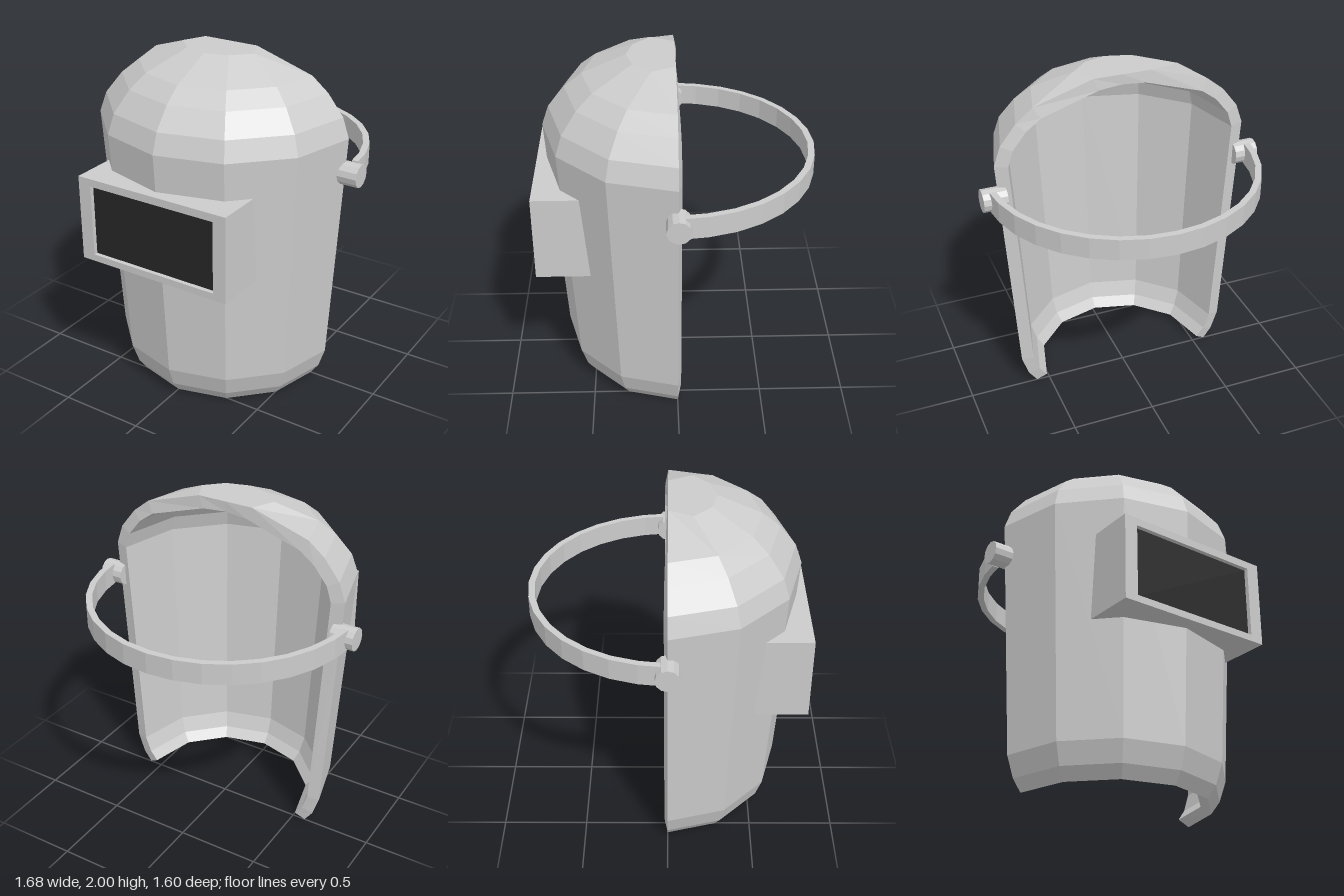
import * as THREE from 'three';

const grey = new THREE.MeshStandardMaterial({ color: 0xcccccc, flatShading: true });
const dark = new THREE.MeshStandardMaterial({ color: 0x262626, flatShading: true });

function addMesh(parent, name, geometry, material = grey) {
  const mesh = new THREE.Mesh(geometry, material);
  mesh.name = name;
  parent.add(mesh);
  return mesh;
}

function shapeFrom(points) {
  return new THREE.Shape(points.map(([x, y]) => new THREE.Vector2(x, y)));
}

// Extrude a plan drawn as (x, z) between two heights
function extrudePlan(points, y0, y1) {
  const shape = shapeFrom(points.map(([x, z]) => [x, -z]));
  const geo = new THREE.ExtrudeGeometry(shape, { depth: y1 - y0, bevelEnabled: false });
  return geo.rotateX(-Math.PI / 2).translate(0, y0, 0);
}

// Shell profiles as (radius, height), from chin to crown
const OUTER = [[0.58, 0], [0.63, 0.07], [0.67, 0.19], [0.755, 1.575], [0.715, 1.69],
  [0.62, 1.81], [0.52, 1.89], [0.27, 2], [0, 2]];
const INNER = [[0.52, 0.04], [0.565, 0.1], [0.6, 0.2], [0.68, 1.565], [0.65, 1.66],
  [0.57, 1.76], [0.48, 1.825], [0.2, 1.93], [0, 1.94]];

// Back edge of each profile: the crown narrows, the inner edge leans back
const rimOuter = OUTER.map(([r, y]) => [r === 0.27 ? 0.17 : r, y, 0]);
const rimInner = INNER.map(([r, y]) => [r === 0.2 ? 0.14 : r, y, -0.02 * Math.min(1, r / 0.6)]);

function buildShell(parent) {
  // Half turn of the closed wall section
  const segments = 6;
  const section = [...OUTER, ...[...INNER].reverse(), OUTER[0]];
  const rim = [...rimOuter, ...[...rimInner].reverse(), rimOuter[0]];
  const wall = new THREE.LatheGeometry(
    section.map(([r, y]) => new THREE.Vector2(r, y)), segments, -Math.PI / 2, Math.PI);
  const pos = wall.attributes.position;
  rim.forEach(([x, y, z], j) => {
    pos.setXYZ(j, -x, y, z);
    pos.setXYZ(segments * section.length + j, x, y, z);
  });
  addMesh(parent, 'maskShell', wall);

  // Strip closing the wall along the open back
  const arch = (half) => [...half, ...half.slice(0, -1).reverse().map(([x, y, z]) => [-x, y, z])];
  const o = arch(rimOuter), i = arch(rimInner);
  const verts = [];
  for (let k = 0; k < o.length - 1; k++) {
    verts.push(...o[k], ...i[k], ...i[k + 1], ...o[k], ...i[k + 1], ...o[k + 1]);
  }
  const strip = new THREE.BufferGeometry();
  strip.setAttribute('position', new THREE.Float32BufferAttribute(verts, 3));
  strip.computeVertexNormals();
  addMesh(parent, 'shellRim', strip);
}

function buildVisor(parent) {
  const visor = new THREE.Group();
  visor.name = 'visor';
  parent.add(visor);
  const y0 = 0.855, y1 = 1.36, front = 0.8, recess = 0.77;

  // Housing, its back following the facets inside the shell wall
  addMesh(visor, 'visorHousing', extrudePlan([[-0.48, recess], [0.48, recess], [0.48, 0.465],
    [0.345, 0.598], [0, 0.69], [-0.345, 0.598], [-0.48, 0.465]], y0, y1));

  // Frame around the window
  const frame = shapeFrom([[-0.48, y0], [0.48, y0], [0.48, y1], [-0.48, y1]]);
  frame.holes.push(shapeFrom([[-0.4, 0.895], [-0.4, 1.315], [0.4, 1.315], [0.4, 0.895]]));
  const frameGeo = new THREE.ExtrudeGeometry(frame, { depth: front - recess, bevelEnabled: false });
  addMesh(visor, 'visorFrame', frameGeo.translate(0, 0, recess));

  // Dark window
  addMesh(visor, 'visorWindow', new THREE.BoxGeometry(0.8, 0.42, 0.02), dark)
    .position.set(0, 1.105, recess - 0.005);
}

function buildHeadband(parent) {
  // Half ring from hinge to hinge
  const steps = 16;
  const arc = (r) => Array.from({ length: steps + 1 }, (_, k) => {
    const a = (k / steps) * Math.PI;
    return [r * Math.cos(a), Math.min(-0.035, -r * Math.sin(a))];
  });
  addMesh(parent, 'headband', extrudePlan([...arc(0.8), ...arc(0.763).reverse()], 1.315, 1.44));

  // Hinge knobs
  for (const side of [1, -1]) {
    const knob = new THREE.CylinderGeometry(0.067, 0.067, 0.14, 12).rotateZ(Math.PI / 2);
    addMesh(parent, side > 0 ? 'leftKnob' : 'rightKnob', knob).position.set(side * 0.77, 1.375, 0);
  }
}

export function createModel() {
  const model = new THREE.Group();
  model.name = 'weldingMask';
  buildShell(model);
  buildVisor(model);
  buildHeadband(model);
  return model;
}
